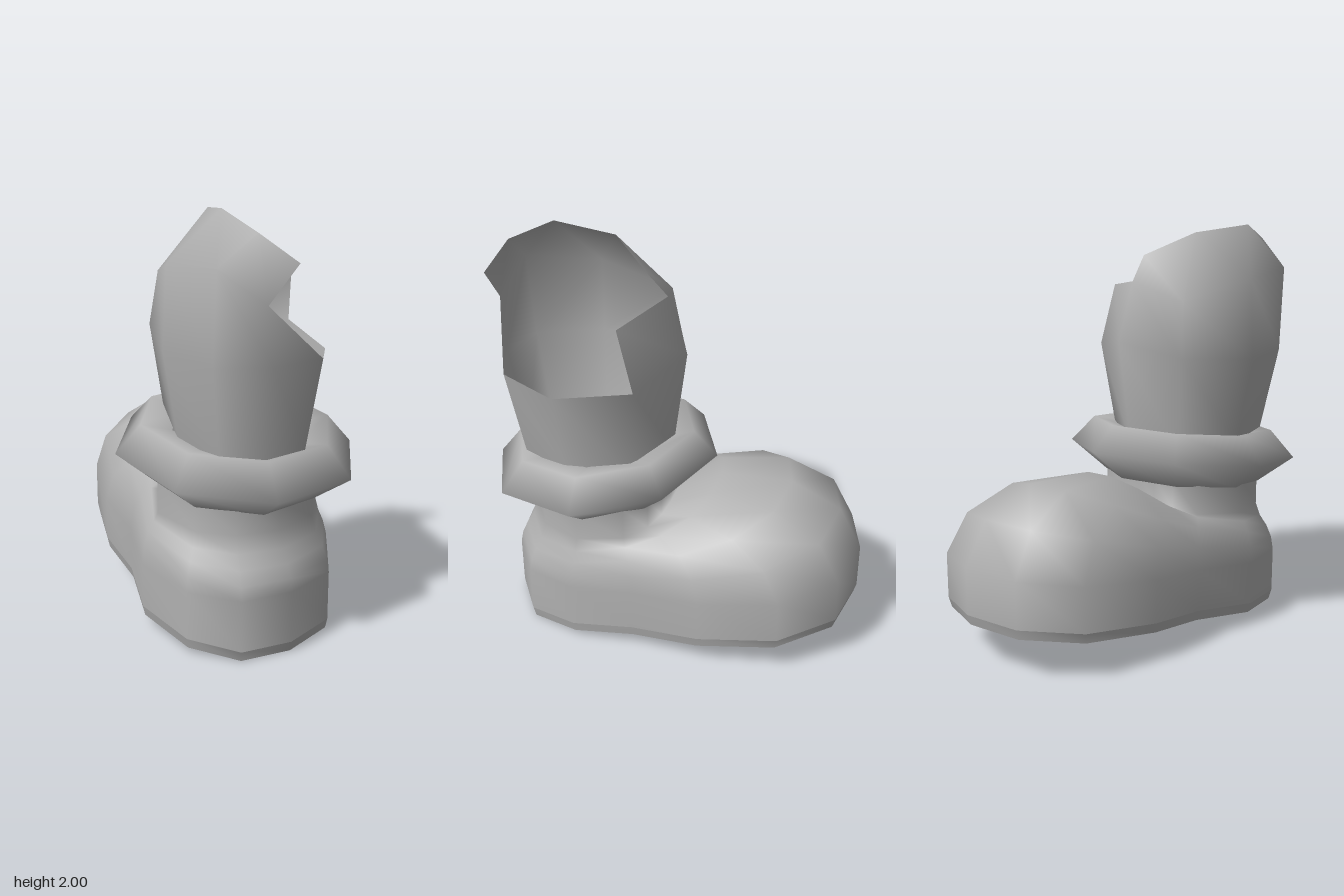
import * as THREE from 'three';

const grey = new THREE.MeshStandardMaterial({ color: 0xb0b0b0, side: THREE.DoubleSide });
grey.name = 'warm grey';

// Skin between closed rings of [x, y, z]; gaps (missing points) stay open
function loft(name, rings) {
  const n = rings[0].length, pos = [], idx = [];
  rings.forEach(r => { for (let j = 0; j < n; j++) pos.push(...(r[j] || [0, 1, 0.3])); });
  for (let i = 0; i + 1 < rings.length; i++) {
    for (let j = 0; j < n; j++) {
      const k = (j + 1) % n, lo = rings[i], up = rings[i + 1];
      const a = i * n + j, b = i * n + k, c = a + n - j + k, d = a + n;
      if (lo[j] && up[j] && up[k]) idx.push(a, d, c);
      if (lo[j] && up[k] && lo[k]) idx.push(a, c, b);
    }
  }
  return makeMesh(name, pos, idx);
}

// Flat fan closing a ring
function cap(name, ring, faceUp) {
  const n = ring.length, idx = [];
  const mid = [0, 1, 2].map(q => ring.reduce((s, p) => s + p[q], 0) / n);
  for (let j = 0; j < n; j++) {
    const k = (j + 1) % n;
    idx.push(n, ...(faceUp ? [k, j] : [j, k]));
  }
  return makeMesh(name, [...ring.flat(), ...mid], idx);
}

function makeMesh(name, pos, idx) {
  const g = new THREE.BufferGeometry();
  g.setAttribute('position', new THREE.Float32BufferAttribute(pos, 3));
  g.setIndex(idx);
  g.computeVertexNormals();
  const m = new THREE.Mesh(g, grey);
  m.name = name;
  return m;
}

const CX = -0.1, CZ = 0.365, SLOPE = 0.126; // ankle axis, tilt of the whole boot

export function createModel() {
  const group = new THREE.Group();
  group.name = 'boot';

  // Foot outline [x, z], from the toe round the left side to the heel and back
  const outline = [
    [-0.02, -0.91], [0.28, -0.90], [0.54, -0.75], [0.645, -0.45], [0.56, -0.07],
    [0.41, 0.25], [0.32, 0.55], [0.15, 0.77], [-0.12, 0.84], [-0.37, 0.80],
    [-0.53, 0.60], [-0.57, 0.28], [-0.45, -0.04], [-0.41, -0.36], [-0.27, -0.73],
  ];
  const soleY = z => Math.max(0, SLOPE * (0.83 - z));

  // Sole rim and underside
  const under = outline.map(([x, z]) => [
    0.04 + (x - 0.04) * 0.98, soleY(z), -0.03 + (z + 0.03) * 0.985]);
  const rim = outline.map(([x, z]) => [x, soleY(z) + 0.05, z]);
  group.add(cap('sole', under, false), loft('soleRim', [under, rim]));

  // Upper: the outline shrinks towards an oval ankle while toe and heel rise separately
  const upperRing = (s, heelY, toeY) => outline.map(([x, z]) => {
    const a = Math.atan2(z - CZ, x - CX);
    const ax = CX + 0.4 * Math.cos(a), az = CZ + 0.37 * Math.sin(a);
    const w = Math.pow(Math.max(0, (0.84 - z) / 1.75), 1.5);
    return [x + (ax - x) * s, heelY + (toeY - heelY) * w, z + (az - z) * s];
  });
  const collar = upperRing(1, 0, 0).map(([x, , z]) => [x, 0.74 - SLOPE * (z - CZ), z]);
  group.add(loft('footUpper', [
    rim,
    upperRing(0, 0.30, 0.50),
    upperRing(0.12, 0.36, 0.71),
    upperRing(0.38, 0.42, 0.835),
    upperRing(0.75, 0.48, 0.83),
    upperRing(1, 0.56, 0.69),
    collar,
  ]));

  // Eight-sided tilted cuff
  const cuffRing = ([r, y]) => Array.from({ length: 8 }, (_, j) => {
    const a = THREE.MathUtils.degToRad(17 + 45 * j);
    const z = CZ - r * Math.cos(a);
    return [CX + r * Math.sin(a), y - SLOPE * (z - CZ), z];
  });
  group.add(loft('cuff', [[0.40, 0.71], [0.58, 0.85], [0.46, 0.985], [0.31, 0.95]].map(cuffRing)));

  // Leg with a ragged top, eight columns from the back round the left side
  const waist = [
    [0.02, 1.45, -0.04], [0.31, 1.39, 0.22], [0.23, 1.33, 0.60], [0.02, 1.36, 0.84],
    [-0.25, 1.36, 0.85], [-0.47, 1.36, 0.72], [-0.50, 1.36, 0.37], [-0.33, 1.40, -0.03],
  ];
  const base = waist.map(([x, , z]) => [CX + (x - CX) * 0.8, 0.92, CZ + (z - CZ) * 0.83]);
  const shoulder = [
    [0, 1.74, 0.05], [0.27, 1.69, 0.29], null, null,
    [-0.30, 1.63, 0.87], [-0.47, 1.78, 0.75], [-0.48, 1.75, 0.37], [-0.31, 1.66, 0.02],
  ];
  const tip = [
    [0, 1.86, 0.15], null, null, null,
    [-0.18, 1.80, 0.92], [-0.31, 1.92, 0.81], [-0.34, 2.0, 0.59], [-0.21, 1.97, 0.29],
  ];
  group.add(loft('leg', [base, waist, shoulder, tip]), cap('legFloor', base, true));

  return group;
}
